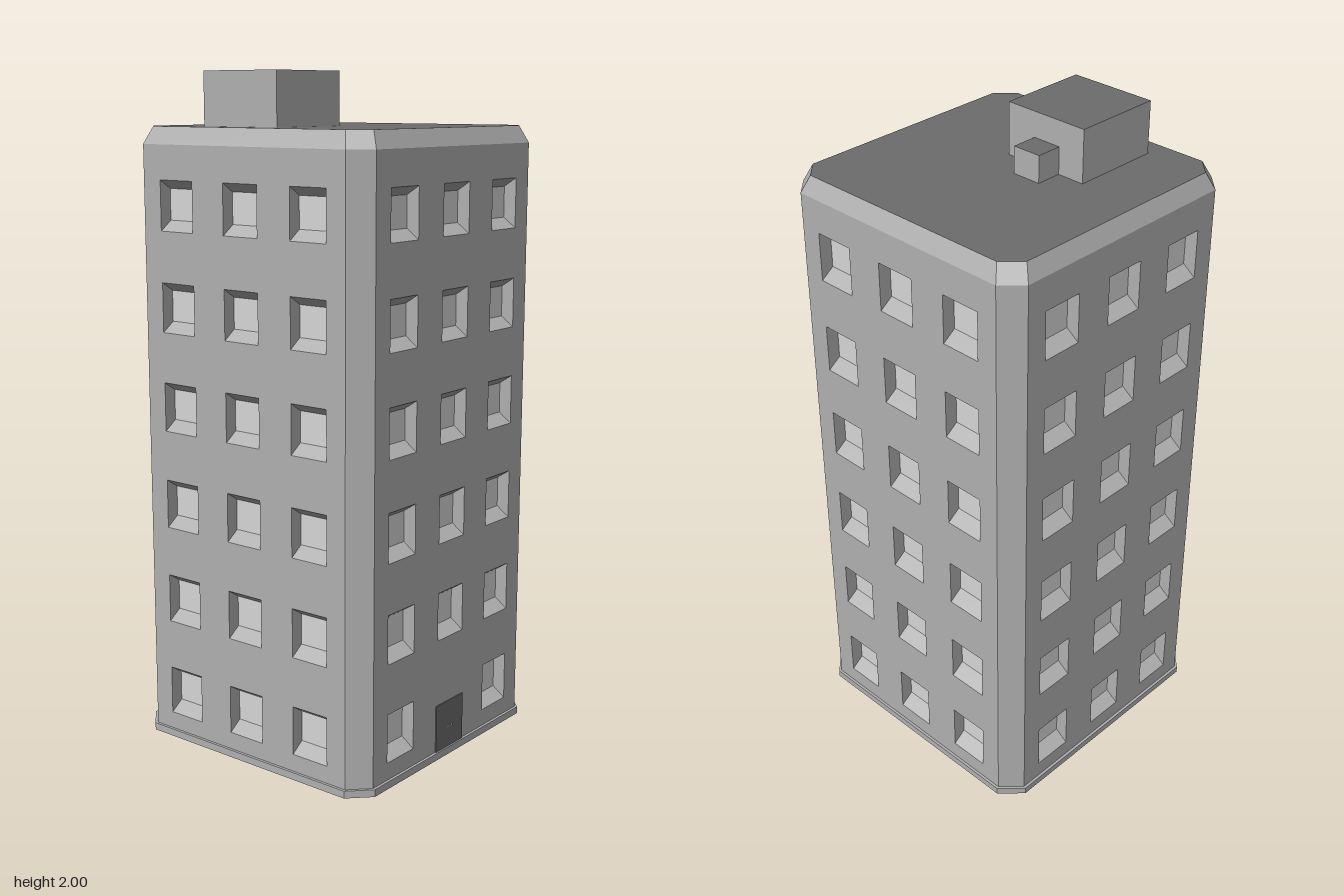
import * as THREE from 'three';

const wall = new THREE.MeshStandardMaterial({ name: 'wall grey', color: 0xb0b0b0 });
const roofMat = new THREE.MeshStandardMaterial({ name: 'roof dark grey', color: 0x6c6c6c });
const glass = new THREE.MeshStandardMaterial({ name: 'window light grey', color: 0xd6d6d6 });

const R = 0.4275, C = 0.371;          // wall distance and where the corner cut starts
const TR = 0.404, TC = 0.352;         // same for the roof edge
const EAVE = 1.795, TOP = 1.845, BASE = 0.022;
const W = 0.0625, H = 0.146, DEPTH = 0.04;   // window half width, height, recess

// Geometry from a list of four-cornered faces
function quads(list) {
  const pos = [];
  for (const [a, b, c, d] of list) pos.push(...a, ...b, ...c, ...a, ...c, ...d);
  const g = new THREE.BufferGeometry();
  g.setAttribute('position', new THREE.Float32BufferAttribute(pos, 3));
  g.computeVertexNormals();
  return g;
}

function add(parent, name, geometry, material) {
  const m = new THREE.Mesh(geometry, material);
  m.name = name;
  parent.add(m);
  return m;
}

function octagon(r, c) {
  return new THREE.Shape([[r, -c], [r, c], [c, r], [-c, r], [-r, c], [-r, -c], [-c, -r], [c, -r]]
    .map(([x, y]) => new THREE.Vector2(x, y)));
}

// One side of the tower: pierced wall, window recesses, panes, cut corner and sloped eave
function facade(hasDoor) {
  const g = new THREE.Group();
  const shape = new THREE.Shape([[-C, 0], [C, 0], [C, EAVE], [-C, EAVE]].map(([x, y]) => new THREE.Vector2(x, y)));
  const reveals = [], panes = [];
  const back = R - DEPTH;
  for (let row = 0; row < 6; row++) {
    for (let col = -1; col <= 1; col++) {
      if (hasDoor && row === 0 && col === 0) continue;
      const l = col * 0.243 - W, r = col * 0.243 + W;
      const y0 = 0.074 + row * 0.295, y1 = y0 + H;
      const p0 = y0 + 0.029, p1 = y1 - 0.026;
      shape.holes.push(new THREE.Path([[l, y0], [l, y1], [r, y1], [r, y0]].map(([x, y]) => new THREE.Vector2(x, y))));
      reveals.push(
        [[l, y0, R], [r, y0, R], [r, p0, back], [l, p0, back]],   // sloped sill
        [[l, p1, back], [r, p1, back], [r, y1, R], [l, y1, R]],   // sloped head
        [[l, y0, R], [l, p0, back], [l, p1, back], [l, y1, R]],
        [[r, y0, R], [r, y1, R], [r, p1, back], [r, p0, back]]);
      panes.push([[l, p0, back], [r, p0, back], [r, p1, back], [l, p1, back]]);
    }
  }
  add(g, 'wall', new THREE.ShapeGeometry(shape).translate(0, 0, R), wall);
  add(g, 'windowReveals', quads(reveals), wall);
  add(g, 'windowPanes', quads(panes), glass);
  add(g, 'cornerAndEave', quads([
    [[C, 0, R], [R, 0, C], [R, EAVE, C], [C, EAVE, R]],
    [[-C, EAVE, R], [C, EAVE, R], [TC, TOP, TR], [-TC, TOP, TR]],
    [[C, EAVE, R], [R, EAVE, C], [TR, TOP, TC], [TC, TOP, TR]],
  ]), wall);
  return g;
}

// Rooftop box with a dark top face
function roofBox(parent, name, x0, x1, y1, z0, z1) {
  const m = add(parent, name, new THREE.BoxGeometry(x1 - x0, y1 - TOP, z1 - z0),
    [wall, wall, roofMat, wall, wall, wall]);
  m.position.set((x0 + x1) / 2, (TOP + y1) / 2, (z0 + z1) / 2);
}

export function createModel() {
  const model = new THREE.Group();
  model.name = 'towerBlock';

  ['front', 'left', 'back', 'right'].forEach((side, i) => {
    const f = facade(i === 0);
    f.name = side + 'Facade';
    f.rotation.y = i * Math.PI / 2;
    model.add(f);
  });

  // Base slab and flat roof
  add(model, 'baseSlab', new THREE.ExtrudeGeometry(octagon(0.436, 0.374), { depth: BASE, bevelEnabled: false })
    .rotateX(-Math.PI / 2), wall);
  add(model, 'roof', new THREE.ShapeGeometry(octagon(TR, TC)).rotateX(-Math.PI / 2).translate(0, TOP, 0), roofMat);

  // Rooftop plant room and its small annex
  roofBox(model, 'plantRoom', -0.339, -0.066, 2, -0.212, 0.061);
  roofBox(model, 'plantRoomAnnex', -0.066, 0.013, 1.925, -0.126, -0.035);

  // Entrance door with two tiny handles
  add(model, 'door', new THREE.BoxGeometry(0.136, 0.145, 0.005), roofMat).position.set(0, BASE + 0.0725, R + 0.001);
  for (const s of [-1, 1]) {
    add(model, 'doorHandle', new THREE.BoxGeometry(0.004, 0.008, 0.004), glass).position.set(s * 0.009, 0.085, R + 0.005);
  }
  return model;
}
